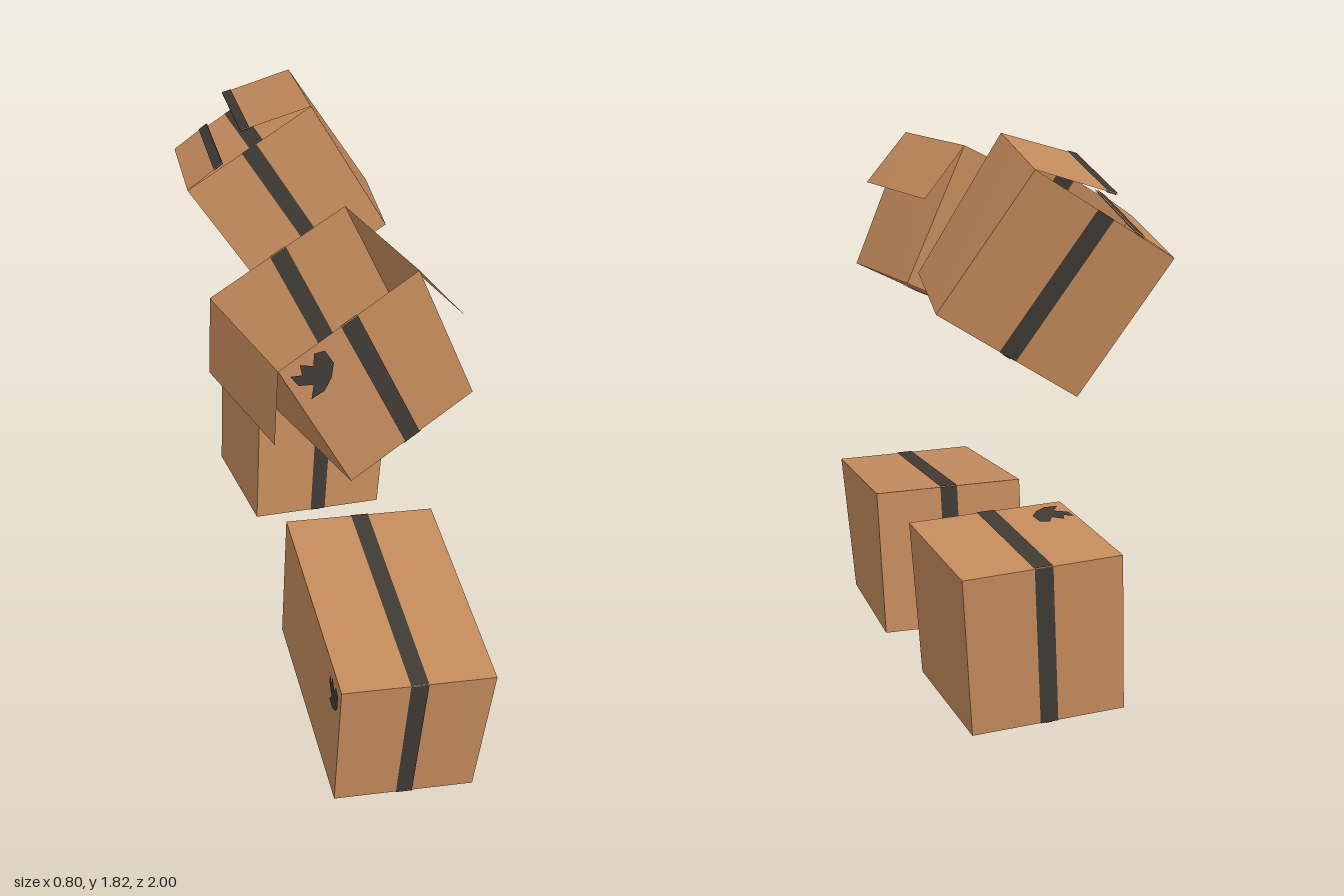
import * as THREE from 'three';

const cardboard = new THREE.MeshStandardMaterial({ color: 0xc48b5c, side: THREE.DoubleSide });
cardboard.name = 'cardboard brown';
const tapeBlack = new THREE.MeshStandardMaterial({ color: 0x3f3a34, side: THREE.DoubleSide });
tapeBlack.name = 'tape black';

const vec = (p) => new THREE.Vector3(...p);

// Lays a flat geometry with 0..1 coordinates onto the quad a, b, c, d, lifted along its normal
function onQuad(geometry, [a, b, c, d], lift = 0) {
  const normal = c.clone().sub(a).cross(d.clone().sub(b)).normalize().multiplyScalar(lift);
  const pos = geometry.attributes.position;
  for (let i = 0; i < pos.count; i++) {
    const u = pos.getX(i), v = pos.getY(i);
    const low = a.clone().lerp(b, u), high = d.clone().lerp(c, u);
    const p = low.lerp(high, v).add(normal);
    pos.setXYZ(i, p.x, p.y, p.z);
  }
  geometry.computeVertexNormals();
  return geometry;
}

function addMesh(group, name, geometry, material) {
  const mesh = new THREE.Mesh(geometry, material);
  mesh.name = name;
  group.add(mesh);
}

// Rectangle u0..u1, v0..v1 in panel coordinates
function patch(u0, u1, v0, v1) {
  return new THREE.PlaneGeometry(u1 - u0, v1 - v0, 8, 8)
    .translate((u0 + u1) / 2, (v0 + v1) / 2, 0);
}

function addPanel(group, name, quad) {
  addMesh(group, name, onQuad(patch(0, 1, 0, 1), quad), cardboard);
}

// Tape shows on both faces of the thin board
function addTape(group, name, quad, u0, u1, v0, v1) {
  for (const lift of [0.003, -0.003]) {
    addMesh(group, name, onQuad(patch(u0, u1, v0, v1), quad, lift), tapeBlack);
  }
}

// Irregular dark smudge
function addSmudge(group, quad, u, v, ru, rv) {
  const outline = [[-1, 0.75], [-0.55, 0.45], [-0.4, 0.95], [0.05, 0.5], [0.35, 1], [0.8, 0.8],
    [0.85, 0], [0.45, -0.55], [-0.1, -0.9], [-0.75, -0.85], [-0.35, -0.3], [-0.9, 0.1]];
  const shape = new THREE.Shape(outline.map(([x, y]) => new THREE.Vector2(u + x * ru, v + y * rv)));
  addMesh(group, 'inkSmudge', onQuad(new THREE.ShapeGeometry(shape), quad, 0.004), tapeBlack);
}

// corners: front BL, BR, TR, TL, then back BL, BR, TR, TL as seen from the front
function makeBox({ name, corners, bottomTape, flaps, smudge }) {
  const group = new THREE.Group();
  group.name = name;
  const [bl, br, tr, tl, bl2, br2, tr2, tl2] = corners.map(vec);
  const panels = {
    front: [bl, br, tr, tl],
    back: [br2, bl2, tl2, tr2],
    leftSide: [br, br2, tr2, tr],
    rightSide: [bl2, bl, tl, tl2],
    bottom: [bl2, br2, br, bl],
  };
  if (!flaps) panels.top = [tl, tr, tr2, tl2];
  for (const [part, quad] of Object.entries(panels)) {
    addPanel(group, part + 'Panel', quad);
    if (part.endsWith('Side')) continue;
    const half = part === 'bottom' ? bottomTape : 0.058;
    addTape(group, part + 'Tape', quad, 0.5 - half, 0.5 + half, 0, 1);
  }
  // Open lid flaps: hinge edge to free edge
  if (flaps) {
    const left = [tr, tr2, vec(flaps.left[1]), vec(flaps.left[0])];
    const right = [tl2, tl, vec(flaps.right[0]), vec(flaps.right[1])];
    addPanel(group, 'leftFlap', left);
    addPanel(group, 'rightFlap', right);
    if (flaps.taped) {
      addTape(group, 'leftFlapTape', left, 0, 1, 0.87, 1);
      addTape(group, 'rightFlapTape', right, 0, 1, 0.76, 1);
    }
  }
  const [part, ...place] = smudge;
  addSmudge(group, panels[part], ...place);
  return group;
}

const boxes = [
  {
    name: 'longFrontBox',
    corners: [
      [-0.155, 0.025, 0.935], [0.308, 0.003, 0.947], [0.35, 0.5, 1.0], [-0.148, 0.525, 0.99],
      [-0.153, 0.08, 0.14], [0.347, 0.058, 0.155], [0.37, 0.556, 0.18], [-0.14, 0.58, 0.17]],
    bottomTape: 0.025,
    smudge: ['rightSide', 0.91, 0.82, 0.075, 0.13],
  },
  {
    name: 'lowBackBox',
    corners: [
      [-0.125, 0.155, -0.433], [0.355, 0.128, -0.47], [0.4, 0.626, -0.497], [-0.1, 0.654, -0.46],
      [-0.172, 0.116, -0.91], [0.31, 0.086, -0.947], [0.353, 0.578, -1.0], [-0.147, 0.608, -0.957]],
    bottomTape: 0.02,
    smudge: ['top', 0.15, 0.2, 0.13, 0.13],
  },
  {
    name: 'openFrontBox',
    corners: [
      [-0.053, 1.115, 0.706], [0.352, 1.312, 0.604], [0.159, 1.778, 0.638], [-0.282, 1.562, 0.743],
      [-0.178, 1.085, 0.24], [0.265, 1.294, 0.134], [0.058, 1.754, 0.158], [-0.39, 1.542, 0.257]],
    bottomTape: 0.07,
    flaps: {
      left: [[0.306, 1.602, 0.626], [0.205, 1.578, 0.123]],
      right: [[-0.296, 1.315, 0.75], [-0.4, 1.278, 0.262]],
    },
    smudge: ['front', 0.18, 0.82, 0.14, 0.14],
  },
  {
    name: 'openBackBox',
    corners: [
      [-0.07, 1.148, -0.356], [0.334, 1.39, -0.358], [0.088, 1.823, -0.433], [-0.338, 1.56, -0.434],
      [-0.042, 1.064, -0.824], [0.386, 1.326, -0.829], [0.12, 1.743, -0.93], [-0.303, 1.48, -0.925]],
    bottomTape: 0.028,
    flaps: {
      left: [[-0.152, 1.756, -0.44], [-0.12, 1.67, -0.945]],
      right: [[-0.215, 1.645, -0.44], [-0.18, 1.56, -0.936]],
      taped: true,
    },
    smudge: ['rightSide', 0.18, 0.82, 0.13, 0.13],
  },
];

export function createModel() {
  const model = new THREE.Group();
  model.name = 'cardboardBoxes';
  for (const box of boxes) model.add(makeBox(box));
  return model;
}
